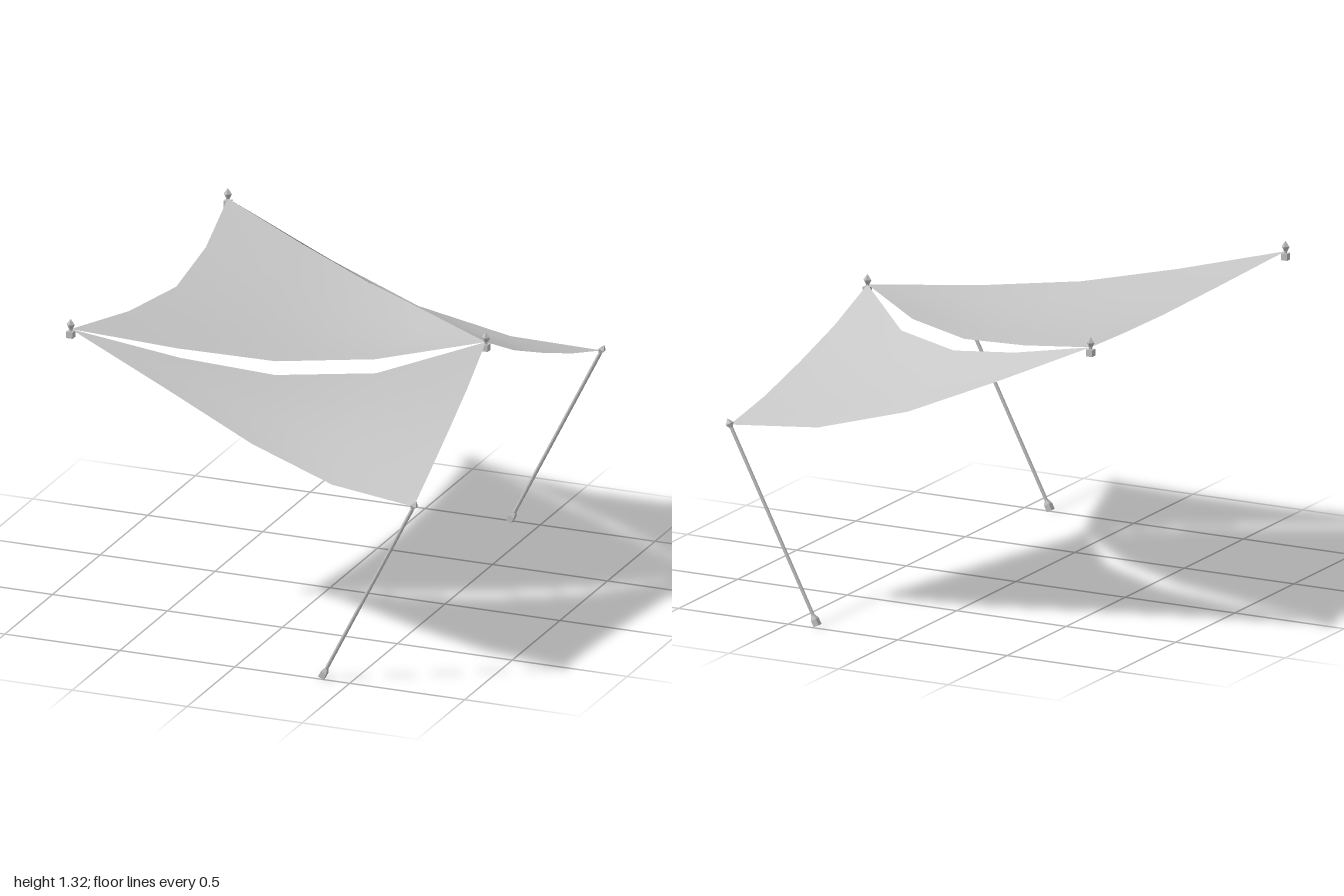
import * as THREE from 'three';
import { mergeVertices } from 'three/addons/utils/BufferGeometryUtils.js';

const SEG = 4; // segments along every sail edge
const V = (x, y, z) => new THREE.Vector3(x, y, z);
const mirror = (pts) => pts.map((p) => V(p.x, p.y, -p.z));

// Triangular sail: edges p and q run to a shared apex, base joins their first points.
function sailGeometry(p, q, base) {
  const pos = [], index = [];
  for (let i = 0; i <= SEG; i++) {
    const s = i / SEG;
    for (let j = 0; j <= SEG; j++) {
      const t = j / SEG;
      const sag = base[j].clone().sub(base[0].clone().lerp(base[SEG], t)).multiplyScalar(1 - s);
      const v = p[i].clone().lerp(q[i], t).add(sag);
      pos.push(v.x, v.y, v.z);
    }
  }
  const w = SEG + 1;
  for (let i = 0; i < SEG; i++) {
    for (let j = 0; j < SEG; j++) {
      const a = i * w + j, b = a + 1, c = a + w, d = c + 1;
      index.push(a, c, b);
      if (i < SEG - 1) index.push(b, c, d); // the last row closes on the apex
    }
  }
  let geo = new THREE.BufferGeometry();
  geo.setAttribute('position', new THREE.Float32BufferAttribute(pos, 3));
  geo.setIndex(index);
  geo = mergeVertices(geo, 1e-5);
  geo.computeVertexNormals();
  // keep the upper face as the front
  const n = geo.attributes.normal;
  let up = 0;
  for (let i = 0; i < n.count; i++) up += n.getY(i);
  if (up < 0) {
    geo.setIndex(Array.from(geo.index.array).reverse());
    geo.computeVertexNormals();
  }
  return geo;
}

export function createModel() {
  const model = new THREE.Group();
  model.name = 'shadeSails';
  const fabric = new THREE.MeshStandardMaterial({ color: 0xc6c6c6, side: THREE.DoubleSide });
  fabric.name = 'sail grey';
  const metal = new THREE.MeshStandardMaterial({ color: 0xc2c2c2, flatShading: true });
  metal.name = 'hardware grey';

  const add = (parent, geo, mat, name) => {
    const m = new THREE.Mesh(geo, mat);
    m.name = name;
    parent.add(m);
    return m;
  };

  // Anchor points on the +z side
  const high = V(-0.784, 1.28, 0.825);
  const tie = V(0.68, 1.15, 0);
  const low = V(0.775, 0.793, 0.987);

  const sails = new THREE.Group();
  sails.name = 'sails';
  sails.position.z = 0.005;
  model.add(sails);

  // Middle sail
  const midEdge = [high, V(-0.39, 1.196, 0.658), V(-0.03, 1.136, 0.495), V(0.318, 1.124, 0.29), tie];
  const midBase = [high, V(-0.705, 1.225, 0.403), V(-0.667, 1.198, 0), V(-0.705, 1.225, -0.403), mirror([high])[0]];
  add(sails, sailGeometry(midEdge, mirror(midEdge), midBase), fabric, 'middleSail');

  // Side sails, tied to the two leaning posts
  const inner = [tie, V(0.343, 1.084, 0.338), V(-0.01, 1.098, 0.548), V(-0.363, 1.17, 0.69), high];
  const outer = [low, V(0.4, 0.818, 0.938), V(0.025, 0.917, 0.872), V(-0.37, 1.088, 0.834), high];
  const side = [tie, V(0.7, 1.035, 0.245), V(0.722, 0.942, 0.495), V(0.746, 0.858, 0.745), low];
  add(sails, sailGeometry(inner, outer, side), fabric, 'frontSail');
  add(sails, sailGeometry(mirror(inner), mirror(outer), mirror(side)), fabric, 'backSail');

  // Small double-cone finial, four-sided
  const finialGeo = new THREE.LatheGeometry(
    [[0, 0], [0.008, 0.002], [0.018, 0.022], [0, 0.046]].map(([r, y]) => new THREE.Vector2(r, y)), 4);
  const clampGeo = new THREE.BoxGeometry(0.028, 0.028, 0.028);

  // Corner fittings: finial above, clamp block below
  [high, mirror([high])[0], tie].forEach((p, i) => {
    const g = new THREE.Group();
    g.name = ['frontFitting', 'backFitting', 'centreFitting'][i];
    g.position.copy(p);
    add(g, finialGeo, metal, 'finial').position.y = -0.002;
    add(g, new THREE.CylinderGeometry(0.007, 0.007, 0.03, 8), metal, 'pin').position.y = -0.01;
    add(g, clampGeo, metal, 'clamp').position.y = -0.022;
    sails.add(g);
  });

  // Leaning posts with foot and cap
  const foot = V(0.375, 0.007, 0.987);
  const length = foot.distanceTo(low);
  const lean = new THREE.Quaternion().setFromUnitVectors(V(0, 1, 0), low.clone().sub(foot).normalize());
  for (const s of [1, -1]) {
    const g = new THREE.Group();
    g.name = s > 0 ? 'frontPost' : 'backPost';
    g.position.set(foot.x, foot.y, s * foot.z);
    g.quaternion.copy(lean);
    add(g, new THREE.CylinderGeometry(0.0075, 0.0075, length, 8), metal, 'pole').position.y = length / 2;
    add(g, new THREE.BoxGeometry(0.025, 0.028, 0.025), metal, 'foot').position.y = 0.014;
    const taper = add(g, new THREE.CylinderGeometry(0.009, 0.0177, 0.018, 4), metal, 'footTaper');
    taper.position.y = 0.037;
    taper.rotation.y = Math.PI / 4;
    const cap = add(g, finialGeo, metal, 'cap');
    cap.position.y = length - 0.016;
    cap.rotation.y = Math.PI / 4;
    cap.scale.set(0.95, 0.95, 0.95);
    sails.add(g);
  }
  return model;
}
